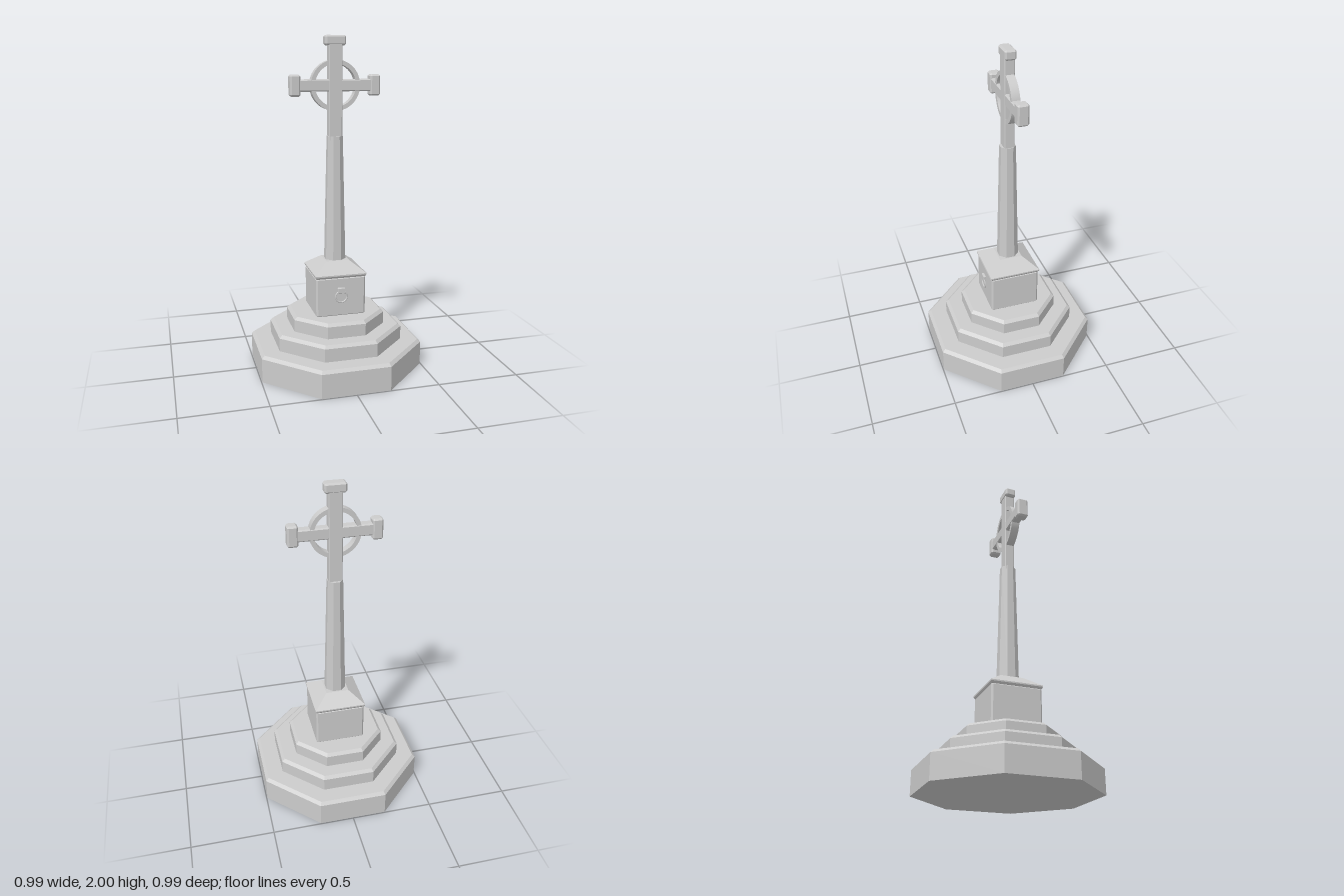
import * as THREE from 'three';
import { ConvexGeometry } from 'three/addons/geometries/ConvexGeometry.js';
import { toCreasedNormals } from 'three/addons/utils/BufferGeometryUtils.js';

const CROSS_Y = 1.715; // height of the arms and the ring

export function createModel() {
  const model = new THREE.Group();
  model.name = 'wheelCross';
  const stone = new THREE.MeshStandardMaterial({ color: 0xcccccc });

  const add = (name, geometry, x = 0, y = 0, z = 0) => {
    const mesh = new THREE.Mesh(geometry, stone);
    mesh.name = name;
    mesh.position.set(x, y, z);
    model.add(mesh);
    return mesh;
  };

  // Flat-sided solid from [apothem, height] pairs, with a flat side to the front
  const prism = (sides, profile) => {
    const k = 1 / Math.cos(Math.PI / sides);
    const points = profile.map(([a, y]) => new THREE.Vector2(a * k, y));
    points.unshift(new THREE.Vector2(0, profile[0][1]));
    points.push(new THREE.Vector2(0, profile[profile.length - 1][1]));
    const geometry = new THREE.LatheGeometry(points, sides, Math.PI / sides).toNonIndexed();
    geometry.computeVertexNormals();
    return geometry;
  };

  // Box with every edge cut at 45 degrees
  const chamferBox = (w, h, d, c) => {
    const points = [];
    for (const x of [-1, 1]) for (const y of [-1, 1]) for (const z of [-1, 1]) {
      for (let full = 0; full < 3; full++) {
        const cut = (axis) => (axis === full ? 0 : c);
        points.push(new THREE.Vector3(
          x * (w / 2 - cut(0)), y * (h / 2 - cut(1)), z * (d / 2 - cut(2))));
      }
    }
    return new ConvexGeometry(points);
  };

  // Three octagonal steps with chamfered rims
  [[0.495, 0, 0.163], [0.38, 0.163, 0.26], [0.28, 0.26, 0.35]].forEach(([r, y0, y1], i) => {
    add(`step${i + 1}`, prism(8, [[r, y0], [r, y1 - 0.017], [r - 0.018, y1]]));
  });

  // Square pedestal and its sloping cap
  add('pedestal', chamferBox(0.304, 0.245, 0.304, 0.01), 0, 0.4675, 0);
  add('pedestalCap', prism(4, [[0.15, 0.585], [0.157, 0.597], [0.157, 0.605], [0.07, 0.67]]));

  // Hanging ring on the pedestal front
  add('ringBracket', chamferBox(0.044, 0.036, 0.018, 0.003), 0, 0.508, 0.157);
  add('hangingRing', new THREE.TorusGeometry(0.035, 0.005, 8, 28), 0, 0.471, 0.159);

  // Tapered octagonal shaft
  add('shaft', prism(8, [[0.061, 0.665], [0.045, 1.42]]));

  // Upright and arms, with a block on each end
  add('upright', chamferBox(0.08, 0.57, 0.06, 0.005), 0, 1.675, 0);
  add('crossArms', chamferBox(0.45, 0.07, 0.055, 0.007), 0, CROSS_Y, 0);
  add('topBlock', chamferBox(0.125, 0.058, 0.067, 0.01), 0, 1.971, 0);
  for (const side of [-1, 1]) {
    add(side > 0 ? 'leftArmBlock' : 'rightArmBlock',
      chamferBox(0.062, 0.125, 0.067, 0.01), side * 0.24, CROSS_Y, 0);
  }

  // Flat ring around the crossing
  const outline = new THREE.Shape().absarc(0, 0, 0.148, 0, Math.PI * 2);
  outline.holes.push(new THREE.Path().absarc(0, 0, 0.123, 0, Math.PI * 2, true));
  const ring = new THREE.ExtrudeGeometry(outline, {
    depth: 0.05, bevelEnabled: false, curveSegments: 32,
  });
  ring.translate(0, 0, -0.025);
  add('crossRing', toCreasedNormals(ring, Math.PI / 6), 0, CROSS_Y, 0);

  return model;
}
